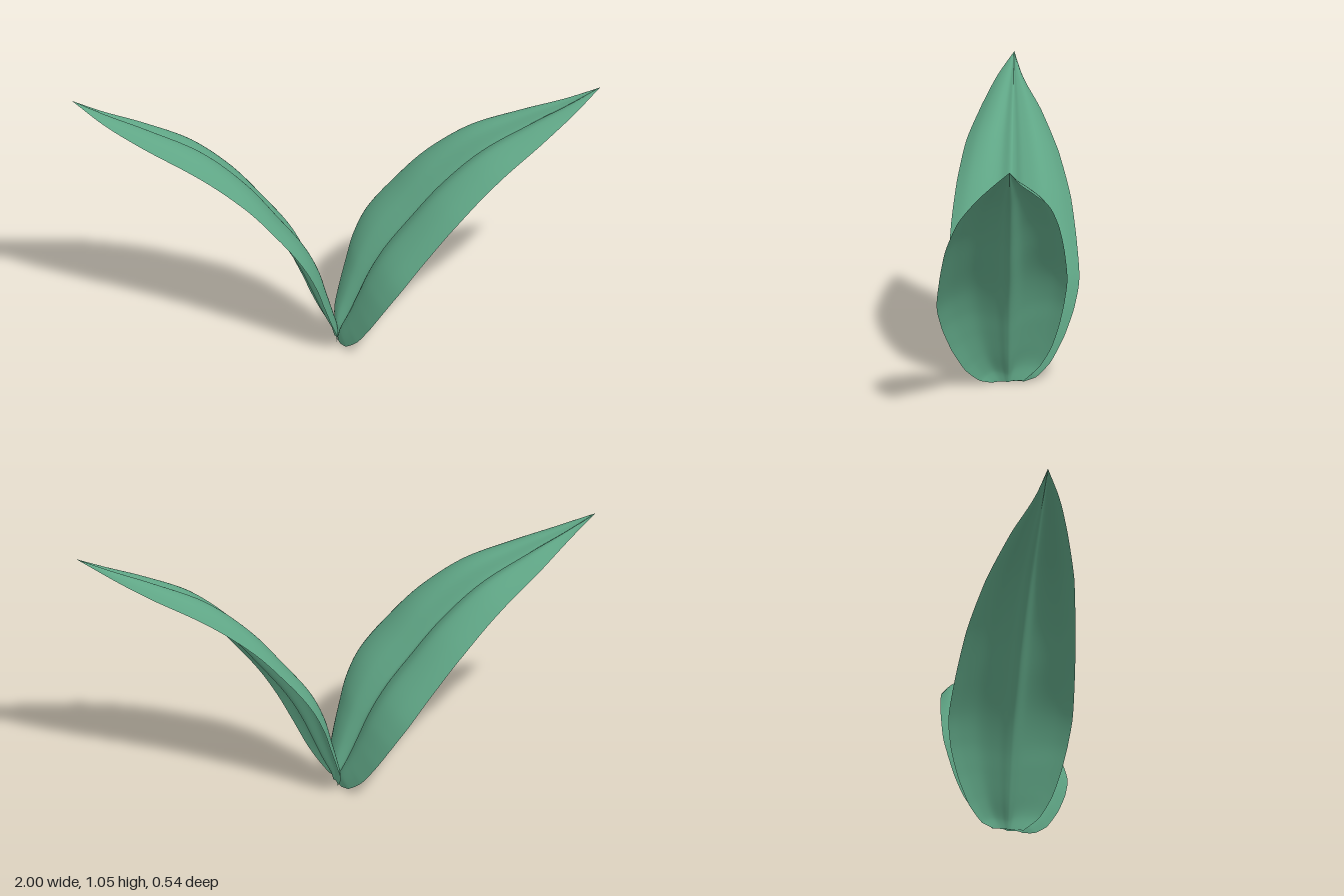
import * as THREE from 'three';

// Stations from base to tip: low side x, y; high side x, y; front edge z; back edge z
const STATIONS = [
  [0.012, 0.0, 0.0, 0.006, 0.06, -0.06],
  [0.03, 0.012, -0.003, 0.07, 0.105, -0.12],
  [0.07, 0.06, 0.017, 0.155, 0.16, -0.165],
  [0.12, 0.15, 0.043, 0.25, 0.212, -0.195],
  [0.175, 0.25, 0.07, 0.345, 0.25, -0.215],
  [0.24, 0.35, 0.12, 0.45, 0.268, -0.226],
  [0.335, 0.475, 0.22, 0.58, 0.257, -0.217],
  [0.45, 0.61, 0.34, 0.725, 0.235, -0.197],
  [0.6, 0.755, 0.5, 0.855, 0.187, -0.163],
  [0.77, 0.88, 0.7, 0.94, 0.118, -0.105],
  [0.9, 0.973, 0.87, 0.999, 0.05, -0.048],
  [1.0, 1.05, 1.0, 1.05, 0, 0],
];

// Cross-section from back edge to front edge: two broad lobes beside a narrow
// midrib groove, the whole tilted forward
const SECTION = new THREE.SplineCurve([
  [-1, 0.85], [-0.75, 0.99], [-0.45, 0.98], [-0.2, 0.8], [-0.04, 0.44],
  [0.06, 0.42], [0.22, 0.53], [0.52, 0.59], [0.8, 0.35], [1, 0],
].map(([s, f]) => new THREE.Vector2(s, f)));

function leafGeometry(tipZ) {
  const last = STATIONS.length - 1;
  const curve = (fn) => new THREE.CatmullRomCurve3(STATIONS.map((s, i) => fn(s, i / last)));
  const low = curve((s) => new THREE.Vector3(s[0], s[1], 0));
  const high = curve((s) => new THREE.Vector3(s[2], s[3], 0));
  // Front edge, back edge and midrib depths
  const depth = curve((s, t) => (t === 1
    ? new THREE.Vector3(tipZ, tipZ, tipZ)
    : new THREE.Vector3(s[4], s[5], tipZ * t)));

  // A flat grid bent into the leaf: u runs across, v runs along
  const geo = new THREE.PlaneGeometry(1, 1, 45, 66);
  const pos = geo.attributes.position;
  const p = new THREE.Vector3();
  for (let i = 0; i < pos.count; i++) {
    const u = pos.getX(i) + 0.5;
    const v = pos.getY(i) + 0.5;
    const { x: s, y: f } = SECTION.getPoint(u);
    const d = depth.getPoint(v);
    // The back edge droops towards the tip
    const droop = s < 0 ? 0.5 * s * s * THREE.MathUtils.smoothstep(v, 0.5, 0.9) : 0;
    p.lerpVectors(low.getPoint(v), high.getPoint(v), f - droop);
    const z = s * (d.x - d.y) / 2 + s * s * (d.x + d.y) / 2 + (1 - s * s) * d.z;
    pos.setXYZ(i, p.x, p.y, z);
  }
  geo.computeVertexNormals();
  return geo;
}

export function createModel() {
  const group = new THREE.Group();
  group.name = 'sprout';
  const material = new THREE.MeshStandardMaterial({ color: 0x5fa585, side: THREE.DoubleSide });

  const leftLeaf = new THREE.Mesh(leafGeometry(-0.015), material);
  leftLeaf.name = 'leftLeaf';

  // The second leaf is the first turned half way round
  const rightLeaf = new THREE.Mesh(leafGeometry(0.015), material);
  rightLeaf.name = 'rightLeaf';
  rightLeaf.rotation.y = Math.PI;

  group.add(leftLeaf, rightLeaf);
  return group;
}
